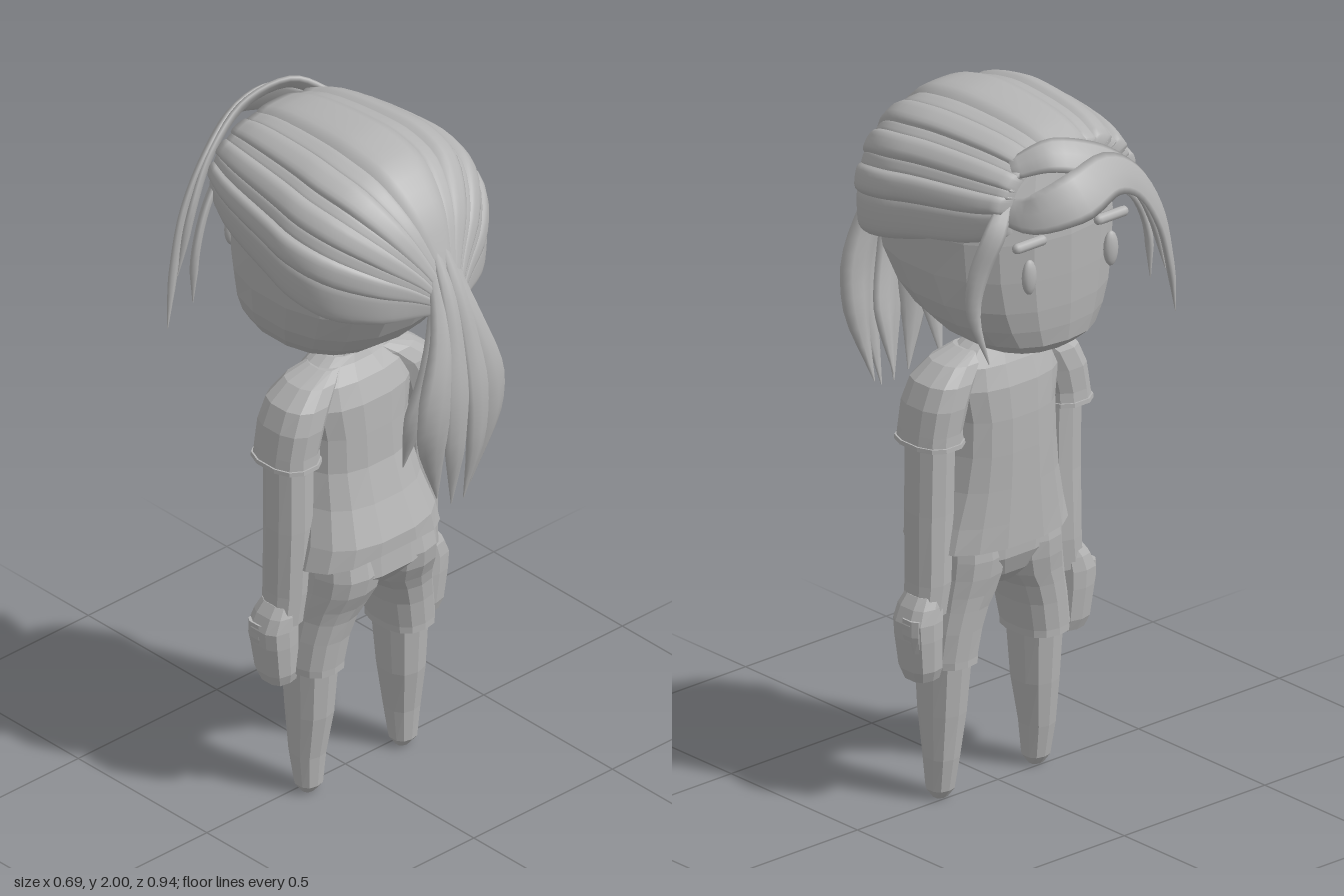
import * as THREE from 'three';

const V = (x, y, z) => new THREE.Vector3(x, y, z);
const sp = (v, power) => Math.sign(v) * Math.pow(Math.abs(v), power);
const grey = new THREE.MeshStandardMaterial({ color: 0xb4b4b4, side: THREE.DoubleSide });
grey.name = 'plain grey';

// Closed skin over a stack of rings, with both ends capped
function skin(rings, faceted) {
  const n = rings[0].length, pos = [], idx = [];
  rings.forEach(r => r.forEach(p => pos.push(p.x, p.y, p.z)));
  for (let i = 0; i < rings.length - 1; i++)
    for (let j = 0; j < n; j++) {
      const a = i * n + j, b = i * n + (j + 1) % n;
      idx.push(a, a + n, b, b, a + n, b + n);
    }
  [0, rings.length - 1].forEach((row, end) => {
    const c = rings[row].reduce((s, p) => s.add(p), V(0, 0, 0)).divideScalar(n);
    const k = pos.length / 3;
    pos.push(c.x, c.y, c.z);
    for (let j = 0; j < n; j++) {
      const a = row * n + j, b = row * n + (j + 1) % n;
      if (end) idx.push(k, b, a); else idx.push(k, a, b);
    }
  });
  let g = new THREE.BufferGeometry();
  g.setAttribute('position', new THREE.Float32BufferAttribute(pos, 3));
  g.setIndex(idx);
  if (faceted) g = g.toNonIndexed();
  g.computeVertexNormals();
  return g;
}

// Horizontal sections from the bottom up: [y, centre x, half width, front z, back z, lift at the middle of the back]
function loft(sections, sides = 12, power = 0.8) {
  return skin(sections.map(([y, cx, rx, zf, zb, lift = 0]) =>
    Array.from({ length: sides }, (_, j) => {
      const a = ((j + 0.5) / sides) * Math.PI * 2;
      const c = sp(Math.cos(a), power), s = sp(Math.sin(a), power);
      return V(cx + rx * c, y + (s > 0 ? lift * (1 - Math.abs(c)) : 0), (zf + zb) / 2 + s * (zb - zf) / 2);
    })), true);
}

// Tapered lock of hair along a path, lying flat around the head
const headCentre = V(0, 1.6, 0);
function lock(points, widths, thick = 0.014, steps = 18) {
  const curve = new THREE.CatmullRomCurve3(points.map(p => V(...p)));
  const rings = [];
  for (let i = 0; i <= steps; i++) {
    const t = i / steps, p = curve.getPoint(t), T = curve.getTangent(t);
    const N = p.clone().sub(headCentre);
    N.addScaledVector(T, -N.dot(T)).normalize();
    const S = T.clone().cross(N);
    const f = t * (widths.length - 1), k = Math.min(Math.floor(f), widths.length - 2);
    const w = THREE.MathUtils.lerp(widths[k], widths[k + 1], f - k);
    const h = Math.min(thick, w * 0.6);
    rings.push(Array.from({ length: 8 }, (_, j) => {
      const a = (j / 8) * Math.PI * 2;
      return p.clone().addScaledVector(S, Math.cos(a) * w).addScaledVector(N, Math.sin(a) * h);
    }));
  }
  return skin(rings, false);
}

// Guide curves of the swept-back hair: its side edge and its top edge, front to back
const sideEdge = new THREE.CatmullRomCurve3([V(0.235, 1.775, -0.29), V(0.27, 1.755, -0.2), V(0.308, 1.725, 0),
  V(0.318, 1.705, 0.1), V(0.29, 1.68, 0.21), V(0.2, 1.655, 0.31), V(0.1, 1.635, 0.365), V(0.045, 1.62, 0.395)]);
const topEdge = new THREE.CatmullRomCurve3([V(0, 1.935, -0.29), V(0, 1.965, -0.2), V(0, 1.983, 0),
  V(0, 1.978, 0.1), V(0, 1.95, 0.21), V(0, 1.86, 0.31), V(0, 1.75, 0.365), V(0, 1.67, 0.395)]);

// One raised strand of the swept-back hair between two angles from the crown
function strand(a0, a1, raise) {
  const rows = 24, cols = 8, pos = [], idx = [];
  for (let i = 0; i <= rows; i++) {
    const t = Math.max(0, (i - 1) / (rows - 1)), e = sideEdge.getPoint(t), c = topEdge.getPoint(t);
    for (let j = 0; j <= cols; j++) {
      const s = (j / cols) * 2 - 1, a = THREE.MathUtils.lerp(a0, a1, j / cols);
      const k = i === 0 ? 0.85 : 1 + raise * (1 - s * s * s * s) - 0.035 * Math.pow(s, 6);
      pos.push(e.x * sp(Math.sin(a), 0.87) * k, e.y + (c.y - e.y) * sp(Math.cos(a), 0.87) * k, e.z);
      if (i < rows && j < cols) {
        const p = i * (cols + 1) + j, q = p + cols + 1;
        idx.push(p, q, p + 1, p + 1, q, q + 1);
      }
    }
  }
  const g = new THREE.BufferGeometry();
  g.setAttribute('position', new THREE.Float32BufferAttribute(pos, 3));
  g.setIndex(idx);
  g.computeVertexNormals();
  return g;
}

export function createModel() {
  const root = new THREE.Group(), figure = new THREE.Group();
  root.name = 'ponytailFigure';
  figure.name = 'figure';
  figure.position.x = 0.015;
  root.add(figure);
  const add = (name, geometry) => {
    const m = new THREE.Mesh(geometry, grey);
    m.name = name;
    figure.add(m);
    return m;
  };

  // Head with a flat face towards -z
  add('head', loft([
    [1.315, 0, 0.1, -0.2, 0.0], [1.335, 0, 0.145, -0.255, 0.06], [1.37, 0, 0.195, -0.295, 0.125],
    [1.42, 0, 0.235, -0.302, 0.19], [1.48, 0, 0.265, -0.306, 0.24], [1.57, 0, 0.287, -0.308, 0.29],
    [1.68, 0, 0.295, -0.308, 0.305], [1.78, 0, 0.28, -0.3, 0.29], [1.87, 0, 0.22, -0.28, 0.23],
    [1.93, 0, 0.12, -0.22, 0.12]], 18, 0.85));
  add('neck', loft([[1.24, 0, 0.08, -0.08, 0.05], [1.34, 0, 0.07, -0.07, 0.04]], 10));

  // Shirt body, flared over the hips
  add('shirt', loft([
    [0.73, 0, 0.235, -0.13, 0.195, 0.04], [0.8, 0, 0.215, -0.13, 0.195], [0.9, 0, 0.187, -0.13, 0.155],
    [1.0, 0, 0.172, -0.13, 0.125], [1.1, 0, 0.168, -0.128, 0.118], [1.19, 0, 0.185, -0.12, 0.11],
    [1.25, 0, 0.172, -0.1, 0.085], [1.29, 0, 0.12, -0.08, 0.055], [1.31, 0, 0.085, -0.07, 0.045]], 16));

  // Shorts seat
  add('shortsSeat', loft([
    [0.6, 0, 0.05, -0.055, 0.08], [0.635, 0, 0.13, -0.085, 0.14],
    [0.69, 0, 0.2, -0.108, 0.188], [0.79, 0, 0.2, -0.11, 0.178]], 16));

  // Paired limbs and face details
  for (const [s, side] of [[1, 'left'], [-1, 'right']]) {
    add(side + 'Sleeve', loft([
      [1.05, s * 0.228, 0.074, -0.095, 0.095], [1.09, s * 0.226, 0.07, -0.093, 0.093],
      [1.16, s * 0.21, 0.074, -0.095, 0.095], [1.22, s * 0.182, 0.076, -0.09, 0.088],
      [1.265, s * 0.135, 0.067, -0.072, 0.068], [1.29, s * 0.09, 0.035, -0.05, 0.045]], 12));
    add(side + 'Cuff', loft([[1.05, s * 0.228, 0.078, -0.1, 0.1], [1.062, s * 0.228, 0.077, -0.099, 0.099]], 12));
    add(side + 'Arm', loft([
      [0.56, s * 0.243, 0.05, -0.055, 0.06], [0.65, s * 0.232, 0.055, -0.06, 0.065],
      [0.85, s * 0.226, 0.06, -0.06, 0.07], [1.1, s * 0.224, 0.06, -0.065, 0.07]], 10));
    add(side + 'Hand', loft([
      [0.378, s * 0.257, 0.042, -0.045, 0.045], [0.41, s * 0.262, 0.05, -0.058, 0.055],
      [0.5, s * 0.27, 0.055, -0.065, 0.06], [0.55, s * 0.272, 0.058, -0.066, 0.06],
      [0.59, s * 0.262, 0.05, -0.06, 0.058], [0.62, s * 0.245, 0.045, -0.05, 0.05]], 10, 0.7));
    add(side + 'Thumb', loft([
      [0.47, s * 0.297, 0.02, -0.05, 0.0], [0.52, s * 0.304, 0.024, -0.055, 0.015],
      [0.565, s * 0.302, 0.026, -0.055, 0.015]], 8, 0.7));
    add(side + 'ShortsLeg', loft([
      [0.4, s * 0.163, 0.077, -0.08, 0.12], [0.42, s * 0.163, 0.078, -0.08, 0.12],
      [0.5, s * 0.15, 0.08, -0.085, 0.127], [0.56, s * 0.134, 0.085, -0.09, 0.138],
      [0.6, s * 0.118, 0.097, -0.095, 0.152], [0.65, s * 0.106, 0.102, -0.104, 0.176],
      [0.7, s * 0.1, 0.104, -0.108, 0.185], [0.77, s * 0.098, 0.1, -0.1, 0.17]], 14));
    add(side + 'Leg', loft([
      [0.0, s * 0.17, 0.02, 0.005, 0.04], [0.025, s * 0.17, 0.037, -0.013, 0.06],
      [0.12, s * 0.17, 0.046, -0.03, 0.068], [0.25, s * 0.165, 0.058, -0.045, 0.088],
      [0.43, s * 0.162, 0.067, -0.06, 0.1]], 10));
    const eye = add(side + 'Eye', new THREE.SphereGeometry(1, 14, 10));
    eye.scale.set(0.023, 0.05, 0.016);
    eye.position.set(s * 0.145, 1.595, -0.302);
    const brow = add(side + 'Brow', new THREE.CapsuleGeometry(0.015, 0.085, 4, 8));
    brow.rotation.z = Math.PI / 2;
    brow.position.set(s * 0.145, 1.69, -0.303);
  }

  // Swept-back hair, alternating thick and thin strands
  const edges = [-0.24, 0.24, 0.4, 0.68, 0.8, 1.06, 1.2, 1.46, 1.8];
  edges.slice(0, -1).forEach((a, i) => {
    const raise = i % 2 ? 0.005 : 0.055;
    add('hairStrand', strand(a - 0.03, edges[i + 1] + 0.03, raise));
    if (i) add('hairStrand', strand(-edges[i + 1] - 0.03, -a + 0.03, raise));
  });

  // Ponytail locks, mirrored
  for (const s of [1, -1]) {
    add('ponytailOuterLock', lock([[s * 0.03, 1.8, 0.325], [s * 0.035, 1.66, 0.385], [s * 0.06, 1.53, 0.425],
      [s * 0.095, 1.38, 0.44], [s * 0.1, 1.24, 0.43], [s * 0.06, 1.04, 0.405]],
    [0.012, 0.03, 0.04, 0.056, 0.046, 0.002], 0.03));
    add('ponytailInnerLock', lock([[s * 0.015, 1.8, 0.335], [s * 0.018, 1.66, 0.4], [s * 0.026, 1.53, 0.435],
      [s * 0.036, 1.38, 0.458], [s * 0.038, 1.22, 0.452], [s * 0.022, 1.015, 0.42]],
    [0.01, 0.025, 0.032, 0.042, 0.036, 0.002], 0.018));
    add('ponytailUnderLock', lock([[s * 0.02, 1.64, 0.37], [s * 0.04, 1.45, 0.37], [s * 0.08, 1.28, 0.345],
      [s * 0.085, 1.1, 0.3]], [0.03, 0.045, 0.04, 0.002], 0.018));
  }

  // Fringe swept across the face towards -x, and loose side locks
  add('fringeTop', lock([[0.2, 1.79, -0.27], [0.185, 1.81, -0.37], [0.09, 1.85, -0.43], [-0.05, 1.87, -0.405],
    [-0.18, 1.8, -0.37], [-0.27, 1.67, -0.355], [-0.32, 1.52, -0.34], [-0.355, 1.36, -0.325]],
  [0.035, 0.055, 0.07, 0.062, 0.05, 0.04, 0.025, 0.002], 0.012, 30));
  add('fringeMiddle', lock([[0.17, 1.9, -0.26], [0.09, 1.94, -0.33], [-0.04, 1.9, -0.375], [-0.17, 1.81, -0.36],
    [-0.26, 1.68, -0.335], [-0.31, 1.5, -0.335]], [0.03, 0.05, 0.055, 0.048, 0.035, 0.002], 0.012, 24));
  add('fringeLower', lock([[0.06, 1.92, -0.29], [-0.02, 1.89, -0.32], [-0.14, 1.82, -0.31], [-0.24, 1.73, -0.29],
    [-0.3, 1.6, -0.275], [-0.315, 1.45, -0.27]], [0.045, 0.05, 0.048, 0.04, 0.03, 0.002], 0.012, 24));
  add('sideLock', lock([[0.2, 1.82, -0.27], [0.26, 1.75, -0.295], [0.3, 1.64, -0.275], [0.315, 1.53, -0.27],
    [0.295, 1.39, -0.31]], [0.02, 0.03, 0.027, 0.02, 0.002], 0.012));
  return root;
}
